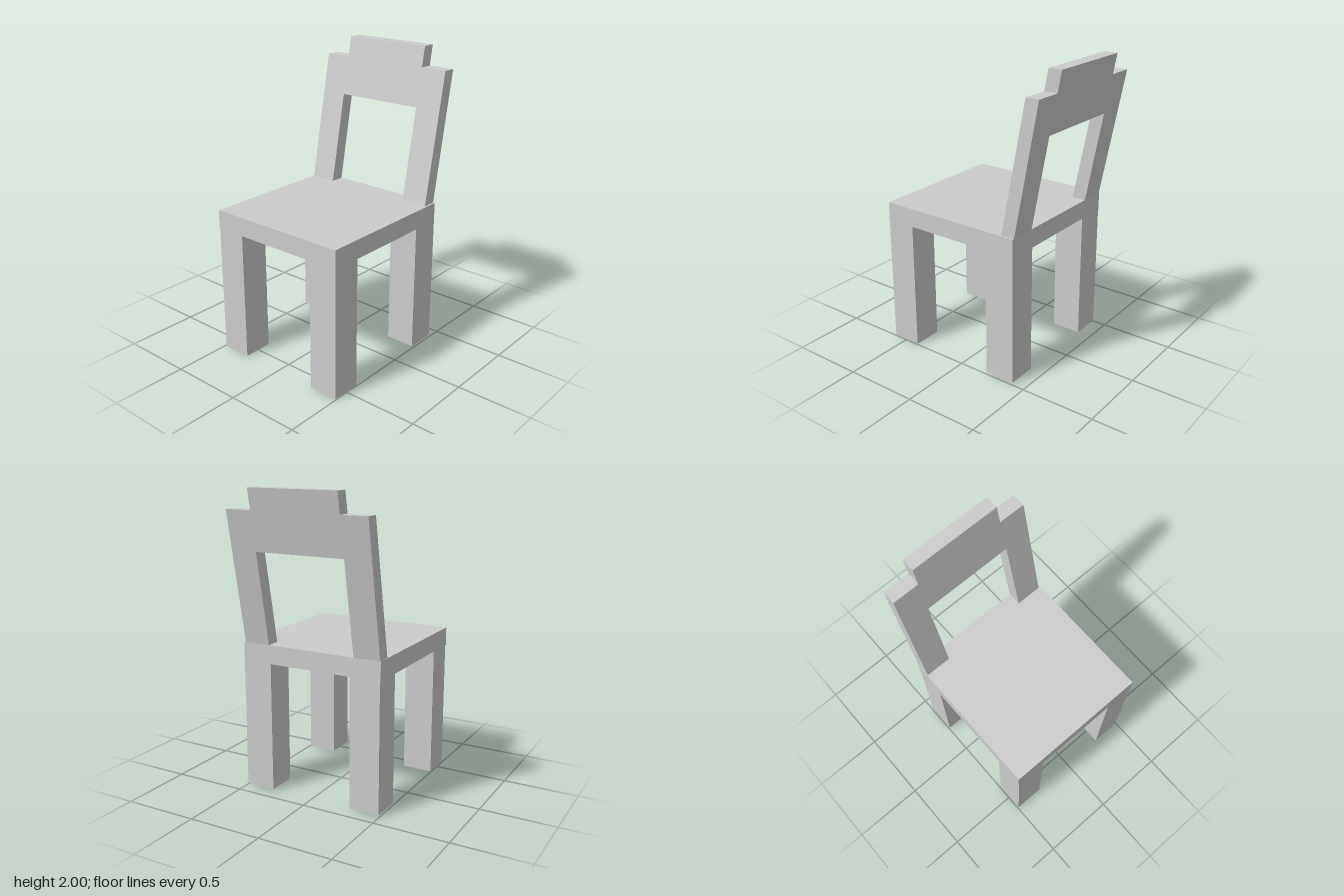
import * as THREE from 'three';

const material = new THREE.MeshStandardMaterial({ color: 0xcccccc, flatShading: true });

// Axis-aligned block given by its limits
function block(name, [x0, x1], [y0, y1], [z0, z1]) {
  const mesh = new THREE.Mesh(new THREE.BoxGeometry(x1 - x0, y1 - y0, z1 - z0), material);
  mesh.position.set((x0 + x1) / 2, (y0 + y1) / 2, (z0 + z1) / 2);
  mesh.name = name;
  return mesh;
}

// Leaning slab of the backrest: a sheared side profile extruded along z
function leaningSlab(name, y0, y1, z0, z1) {
  const front = (y) => 0.315 + (y - 1) * 0.197;
  const back = (y) => 0.41 + (y - 1) * 0.191;
  const profile = new THREE.Shape([
    new THREE.Vector2(front(y0), y0),
    new THREE.Vector2(back(y0), y0),
    new THREE.Vector2(back(y1), y1),
    new THREE.Vector2(front(y1), y1),
  ]);
  const geometry = new THREE.ExtrudeGeometry(profile, { depth: z1 - z0, bevelEnabled: false });
  const mesh = new THREE.Mesh(geometry, material);
  mesh.position.z = z0;
  mesh.name = name;
  return mesh;
}

export function createModel() {
  const chair = new THREE.Group();
  chair.name = 'chair';

  // Seat
  chair.add(block('seat', [-0.603, 0.41], [0.875, 1], [-0.497, 0.493]));

  // Four square legs; the pair under the backrest is a touch shorter
  const rows = [
    { name: 'outerLeg', x: [-0.603, -0.4], foot: 0 },
    { name: 'backrestLeg', x: [0.205, 0.41], foot: 0.01 },
  ];
  for (const { name, x, foot } of rows) {
    for (const z of [[-0.493, -0.287], [0.29, 0.493]]) {
      chair.add(block(name, x, [foot, 0.875], z));
    }
  }

  // Backrest: two leaning posts with a taller panel between them
  const backrest = new THREE.Group();
  backrest.name = 'backrest';
  backrest.add(
    leaningSlab('post', 1, 1.865, -0.493, -0.313),
    leaningSlab('post', 1, 1.865, 0.3, 0.48),
    leaningSlab('backPanel', 1.61, 2, -0.313, 0.3),
  );
  chair.add(backrest);

  return chair;
}
